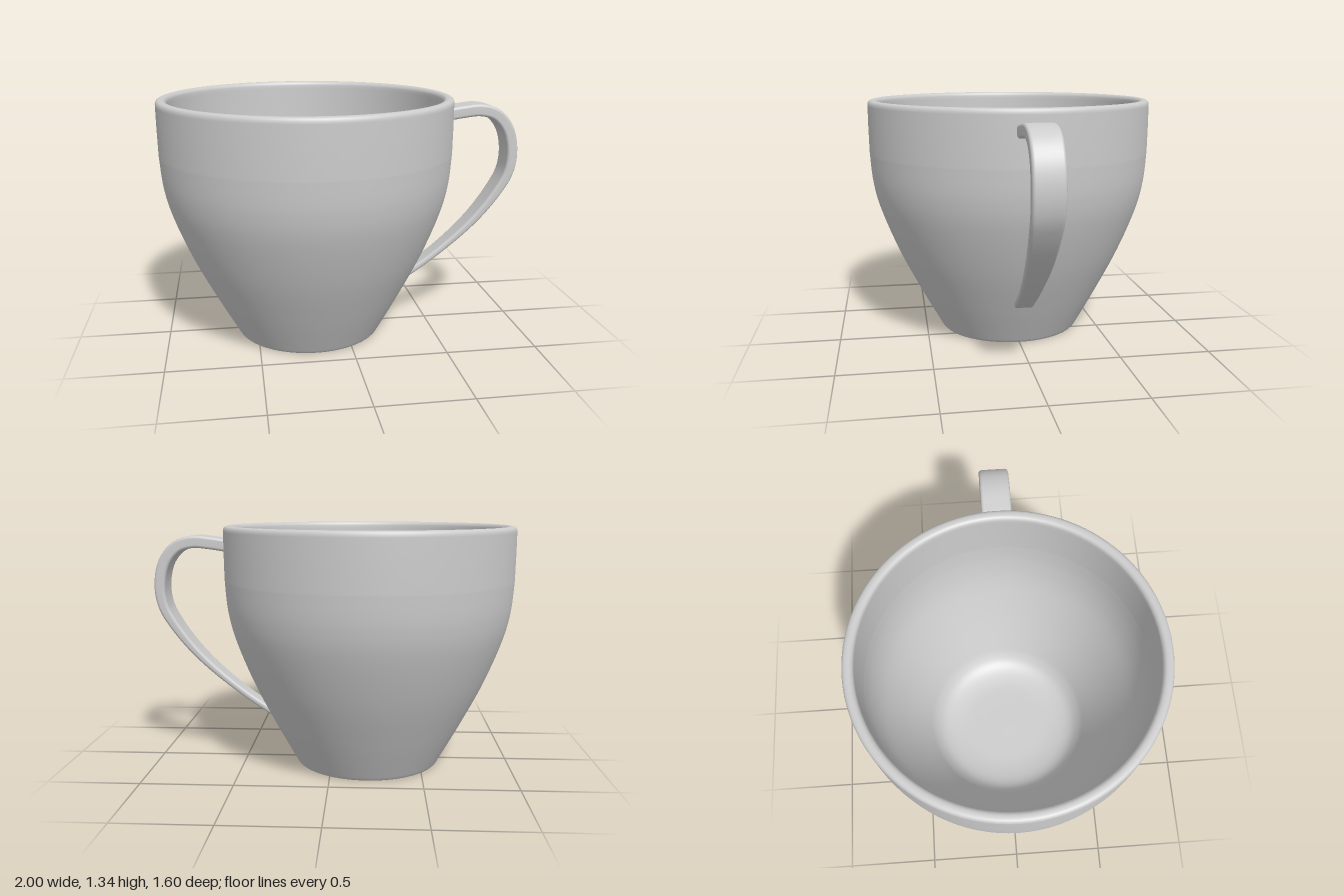
import * as THREE from 'three';

const v2 = (x, y) => new THREE.Vector2(x, y);
const spline = (pts, n) => new THREE.SplineCurve(pts.map(p => v2(...p))).getPoints(n);

// Cup body: underside, outer wall, rolled rim, inner wall and floor in one profile
function cupGeometry() {
  const underside = [
    [0, 0.03], [0.30, 0.03], [0.315, 0.03], [0.33, 0.025], [0.35, 0.01],
    [0.365, 0.003], [0.38, 0], [0.392, 0], [0.4, 0.002], [0.406, 0.008],
  ].map(p => v2(...p));
  const outer = spline([
    [0.412, 0.018], [0.53, 0.235], [0.65, 0.476], [0.745, 0.717], [0.785, 0.88], [0.8, 1.05],
  ], 40);
  const rim = [
    [0.802, 1.2], [0.802, 1.31], [0.802, 1.32], [0.798, 1.332], [0.79, 1.338], [0.78, 1.341],
    [0.765, 1.341], [0.755, 1.337], [0.748, 1.328], [0.745, 1.318], [0.745, 1.3], [0.745, 1.2],
  ].map(p => v2(...p));
  const inner = spline([
    [0.744, 1.05], [0.73, 0.9], [0.69, 0.727], [0.6, 0.5], [0.49, 0.265],
    [0.44, 0.17], [0.38, 0.115], [0.28, 0.09], [0.15, 0.085], [0, 0.085],
  ], 54);
  return new THREE.LatheGeometry([...underside, ...outer, ...rim, ...inner], 96);
}

// Rounded rectangle outline, anticlockwise, with half sizes a and b
function roundedRect(a, b, r) {
  const pts = [];
  [[1, 1], [-1, 1], [-1, -1], [1, -1]].forEach(([sx, sy], corner) => {
    for (let i = 0; i <= 4; i++) {
      const t = (corner + i / 4) * Math.PI / 2;
      pts.push([sx * (a - r) + r * Math.cos(t), sy * (b - r) + r * Math.sin(t)]);
    }
  });
  return pts;
}

// Handle: flat strap swept along a planar curve, narrowing towards its foot
function handleGeometry() {
  const path = new THREE.CatmullRomCurve3([
    [0.575, 1.227], [0.68, 1.243], [0.78, 1.25], [0.87, 1.222], [0.94, 1.14], [0.97, 1.01],
    [0.955, 0.89], [0.9, 0.785], [0.79, 0.64], [0.665, 0.515], [0.5, 0.38], [0.345, 0.273],
  ].map(([x, y]) => new THREE.Vector3(x, y, 0)), false, 'centripetal');
  const steps = 72, positions = [], index = [];
  let ring = 0;
  for (let i = 0; i <= steps; i++) {
    const u = i / steps;
    const p = path.getPointAt(u), t = path.getTangentAt(u);
    const halfWidth = 0.08 - 0.027 * THREE.MathUtils.smoothstep(u, 0.35, 1);
    const halfThick = 0.034 - 0.016 * THREE.MathUtils.smoothstep(u, 0.1, 0.95);
    const outline = roundedRect(halfWidth, halfThick, Math.min(0.016, halfThick * 0.8));
    ring = outline.length;
    for (const [w, h] of outline) positions.push(p.x - t.y * h, p.y + t.x * h, w);
  }
  for (let i = 0; i < steps; i++) {
    for (let j = 0; j < ring; j++) {
      const a = i * ring + j, b = i * ring + (j + 1) % ring;
      index.push(a, a + ring, b, b, a + ring, b + ring);
    }
  }
  // End caps sit inside the cup wall
  const last = steps * ring;
  for (let j = 1; j < ring - 1; j++) {
    index.push(0, j, j + 1, last, last + j + 1, last + j);
  }
  const geometry = new THREE.BufferGeometry();
  geometry.setAttribute('position', new THREE.Float32BufferAttribute(positions, 3));
  geometry.setIndex(index);
  geometry.computeVertexNormals();
  return geometry;
}

export function createModel() {
  const group = new THREE.Group();
  group.name = 'cupWithHandle';
  const ceramic = new THREE.MeshStandardMaterial({ color: 0xcccccc });
  ceramic.name = 'greyCeramic';

  const cup = new THREE.Mesh(cupGeometry(), ceramic);
  cup.name = 'cupBody';
  cup.position.x = -0.2;

  const handle = new THREE.Mesh(handleGeometry(), ceramic);
  handle.name = 'handle';

  group.add(cup, handle);
  return group;
}
